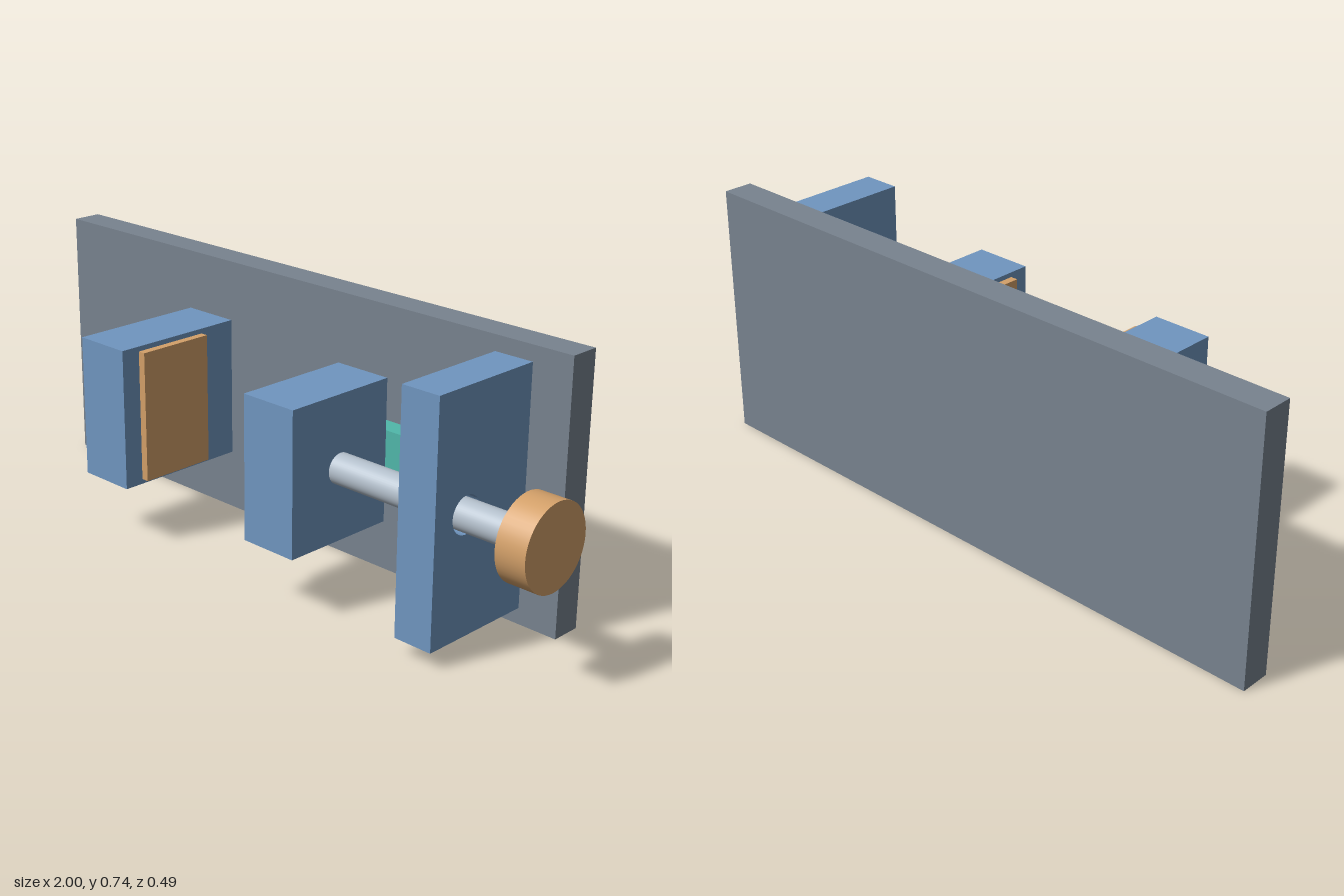
import * as THREE from 'three';

const mat = (name, color) => new THREE.MeshStandardMaterial({ name, color });

export function createModel() {
  const group = new THREE.Group();
  const slate = mat('slate grey', 0x78838f);
  const blue = mat('steel blue', 0x7096c0);
  const tan = mat('tan', 0xd3a069);
  const teal = mat('teal', 0x50b8aa);
  const silver = mat('silver', 0xb4c0cc);

  const axisY = 0.372, axisZ = 0.071; // screw axis

  const add = (name, geometry, material) => {
    const mesh = new THREE.Mesh(geometry, material);
    mesh.name = name;
    group.add(mesh);
    return mesh;
  };
  // Box given by its extents along each axis
  const box = (name, material, [x0, x1], [y0, y1], [z0, z1]) =>
    add(name, new THREE.BoxGeometry(x1 - x0, y1 - y0, z1 - z0), material)
      .position.set((x0 + x1) / 2, (y0 + y1) / 2, (z0 + z1) / 2);
  // Cylinder lying along x on the screw axis
  const rod = (name, material, x0, x1, radius) => {
    const geometry = new THREE.CylinderGeometry(radius, radius, x1 - x0, 48).rotateZ(-Math.PI / 2);
    add(name, geometry, material).position.set((x0 + x1) / 2, axisY, axisZ);
  };

  // Back plate and guide rail
  box('backPlate', slate, [-1, 0.857], [0, 0.743], [-0.243, -0.157]);
  box('guideRail', teal, [0.14, 0.597], [0.315, 0.429], [-0.157, -0.1]);

  // Jaws with their facing pads
  const jawY = [0.172, 0.572], padY = [0.186, 0.558], padZ = [-0.043, 0.186];
  box('fixedJaw', blue, [-0.48, -0.309], jawY, [-0.157, 0.243]);
  box('fixedJawPad', tan, [-0.309, -0.287], padY, padZ);
  box('slidingJaw', blue, [0.16, 0.331], jawY, [-0.1, 0.243]);
  box('slidingJawPad', tan, [0.138, 0.16], padY, padZ);

  // Screw bracket, bored through for the screw (shape x runs along -z)
  const outline = new THREE.Shape([
    new THREE.Vector2(-0.186, 0.045), new THREE.Vector2(0.157, 0.045),
    new THREE.Vector2(0.157, 0.7), new THREE.Vector2(-0.186, 0.7),
  ]);
  outline.holes.push(new THREE.Path().absarc(-axisZ, axisY, 0.051, 0, Math.PI * 2, true));
  const bracket = new THREE.ExtrudeGeometry(outline, { depth: 0.114, bevelEnabled: false, curveSegments: 24 });
  add('screwBracket', bracket.rotateY(Math.PI / 2), blue).position.x = 0.626;

  // Screw and knob
  rod('screw', silver, 0.331, 0.914, 0.042);
  rod('knob', tan, 0.914, 1, 0.114);

  return group;
}
